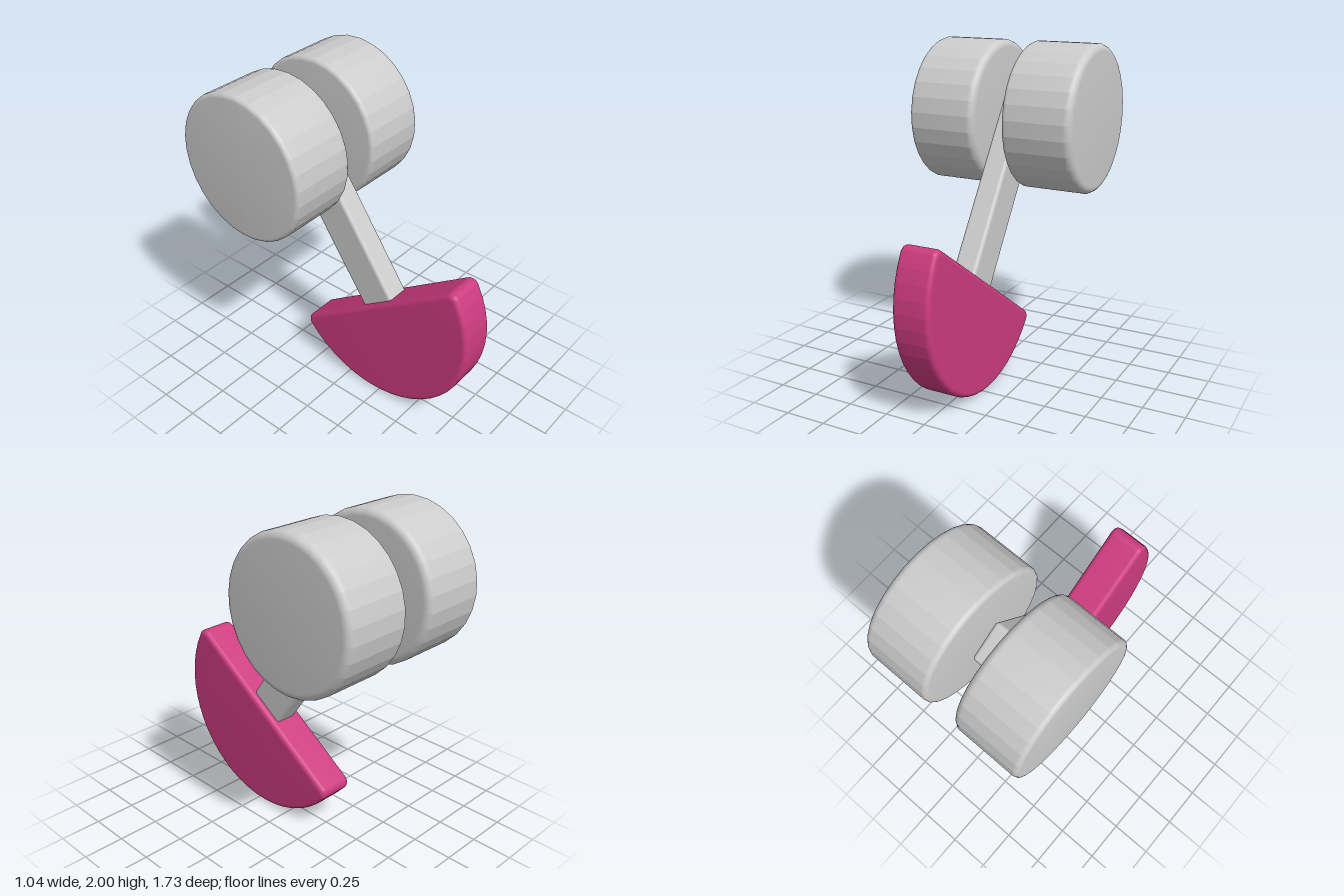
import * as THREE from 'three';
import { toCreasedNormals } from 'three/addons/utils/BufferGeometryUtils.js';
import { RoundedBoxGeometry } from 'three/addons/geometries/RoundedBoxGeometry.js';

const grey = new THREE.MeshStandardMaterial({ color: 0xcccccc });
const pink = new THREE.MeshStandardMaterial({ color: 0xcc3b7f });

function addMesh(parent, name, geometry, material, x, y, z) {
  const mesh = new THREE.Mesh(geometry, material);
  mesh.name = name;
  mesh.position.set(x, y, z);
  parent.add(mesh);
}

// Half disc with its flat side on y = 0, soft corners and bevelled rims, thick along x
function halfDiscGeometry(radius, thickness, corner, bevel) {
  const cx = Math.sqrt((radius - corner) ** 2 - corner ** 2);
  const tilt = Math.asin(corner / (radius - corner));
  const r = corner - bevel;
  const shape = new THREE.Shape();
  shape.absarc(cx, -corner, r, Math.PI / 2, -tilt, true);
  shape.absarc(0, 0, radius - bevel, -tilt, -Math.PI + tilt, true);
  shape.absarc(-cx, -corner, r, Math.PI + tilt, Math.PI / 2, true);
  const depth = thickness - 2 * bevel;
  const geometry = new THREE.ExtrudeGeometry(shape, {
    depth, curveSegments: 12, bevelSize: bevel, bevelThickness: bevel, bevelSegments: 16,
  });
  geometry.translate(0, 0, -depth / 2).rotateY(Math.PI / 2);
  return toCreasedNormals(geometry, 0.11);
}

// Faceted drum along x with a rounded rim at each end
function drumGeometry(radius, width, innerRim, outerRim) {
  const points = [new THREE.Vector2(0, -width / 2)];
  const rim = (r, side) => {
    for (let i = 0; i <= 9; i++) {
      const a = (side < 0 ? i - 9 : i) / 9 * Math.PI / 2;
      points.push(new THREE.Vector2(
        radius - r + r * Math.cos(a), side * (width / 2 - r) + r * Math.sin(a)));
    }
  };
  rim(innerRim, -1);
  rim(outerRim, 1);
  points.push(new THREE.Vector2(0, width / 2));
  const geometry = new THREE.LatheGeometry(points, 30, THREE.MathUtils.degToRad(8));
  geometry.rotateZ(-Math.PI / 2);
  return toCreasedNormals(geometry, 0.19);
}

export function createModel() {
  const model = new THREE.Group();
  model.name = 'rockerWithDrums';

  // Tilted base and arm share one frame at the middle of the flat side
  const tilted = new THREE.Group();
  tilted.name = 'tiltedBody';
  tilted.position.set(0, 0.67, 0.2);
  tilted.rotation.x = -0.604;
  model.add(tilted);
  addMesh(tilted, 'halfDiscBase', halfDiscGeometry(0.667, 0.23, 0.05, 0.03), pink, 0, 0, 0);
  addMesh(tilted, 'arm', new RoundedBoxGeometry(0.146, 1.17, 0.25, 5, 0.022), grey, 0, 0.54, 0);

  // Two drums beside the top of the arm
  const drum = drumGeometry(0.443, 0.427, 0.028, 0.045);
  addMesh(model, 'leftDrum', drum, grey, 0.303, 1.557, -0.418);
  addMesh(model, 'rightDrum', drum, grey, -0.306, 1.557, -0.418);

  return model;
}
